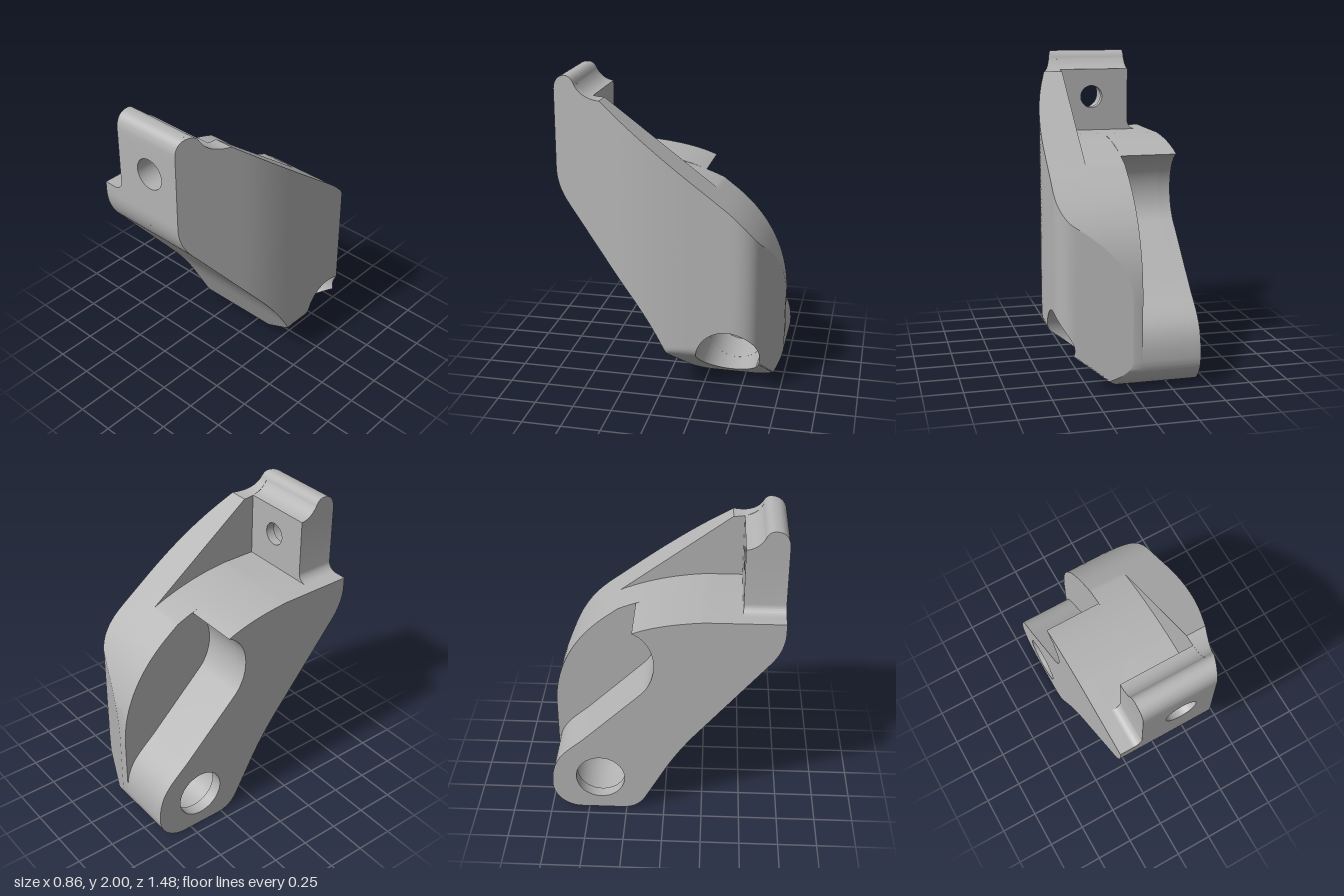
import * as THREE from 'three';
import { toCreasedNormals } from 'three/addons/utils/BufferGeometryUtils.js';

// Side profiles use (u, y) with u = -z; the pivot hole is the hub of the radial meshes.
const HUB = { u: 0.42, y: 0.25, r: 0.2 };
const WALL_X = -0.06, POCKET_X = 0.19, LEFT_X = -0.43, STEP_X = -0.35;

// Plan outline of the outer shell as (z, x), front to back
const plan = new THREE.Path();
plan.moveTo(0.74, 0.19);
plan.lineTo(0.33, 0.344);
plan.quadraticCurveTo(0.1, 0.43, -0.2, 0.43);
plan.lineTo(-0.45, 0.43);
plan.quadraticCurveTo(-0.59, 0.43, -0.625, 0.32);
plan.lineTo(-0.74, 0);
const planPoints = plan.getPoints(16);

// Lower side chamfer as (y, x)
const chamfer = new THREE.Path();
chamfer.moveTo(0, 0.055);
chamfer.lineTo(0.25, 0.395);
chamfer.quadraticCurveTo(0.275, 0.43, 0.33, 0.43);
const chamferPoints = chamfer.getPoints(8);

function lookup(points, t) {
  for (let i = 1; i < points.length; i++) {
    const a = points[i - 1], b = points[i];
    if ((t - a.x) * (t - b.x) <= 0 && a.x !== b.x) return a.y + (b.y - a.y) * (t - a.x) / (b.x - a.x);
  }
  const a = points[0], b = points[points.length - 1];
  return Math.abs(t - a.x) < Math.abs(t - b.x) ? a.y : b.y;
}
const outerX = (u, y) => Math.min(lookup(planPoints, -u), lookup(chamferPoints, y));
const pocketX = (u, y) => Math.min(POCKET_X, outerX(u, y));

// Shared stretches of the side profile
function startBottom(s) {
  s.moveTo(0.28, 0);
  s.lineTo(0.55, 0);
  s.absarc(0.55, 0.19, 0.19, -Math.PI / 2, 0, false);
}
function shellBack(s) {
  s.lineTo(0.74, 0.58);
  s.bezierCurveTo(0.74, 0.85, 0.62, 1.09, 0.4, 1.26);
}
function frontDown(s) {
  s.lineTo(-0.74, 1.4);
  s.quadraticCurveTo(-0.74, 1.28, -0.66, 1.18);
  s.lineTo(-0.2, 0.62);
  s.quadraticCurveTo(-0.08, 0.47, 0, 0.32);
  s.lineTo(0.12, 0.1);
  s.quadraticCurveTo(0.17, 0, 0.28, 0);
}
function topLip(s) {
  s.quadraticCurveTo(-0.61, 2, -0.65, 2);
  s.quadraticCurveTo(-0.73, 2, -0.74, 1.91);
}

function shellProfile() {
  const s = new THREE.Shape();
  startBottom(s);
  shellBack(s);
  s.lineTo(-0.41, 1.87);
  s.quadraticCurveTo(-0.54, 1.87, -0.59, 1.95);
  topLip(s);
  frontDown(s);
  return s;
}
function coreProfile() {
  const s = new THREE.Shape();
  startBottom(s);
  shellBack(s);
  s.lineTo(0.31, 1.328);
  s.quadraticCurveTo(0.05, 1.44, -0.25, 1.46);
  s.lineTo(-0.74, 1.46);
  frontDown(s);
  return s;
}
function lugProfile(holeRadius) {
  const s = new THREE.Shape();
  startBottom(s);
  s.bezierCurveTo(0.74, 0.42, 0.62, 0.46, 0.5, 0.58);
  s.lineTo(0.14, 0.93);
  s.bezierCurveTo(0.02, 1.06, 0.04, 1.3, 0.195, 1.37);
  s.quadraticCurveTo(0.03, 1.44, -0.25, 1.46);
  s.lineTo(-0.74, 1.46);
  frontDown(s);
  s.holes.push(new THREE.Path().absarc(HUB.u, HUB.y, holeRadius, 0, Math.PI * 2, true));
  return s;
}

// Outline points with long edges subdivided
function densePoints(shape) {
  const pts = shape.getPoints(14), out = [];
  pts.forEach((a, i) => {
    const b = pts[(i + 1) % pts.length], d = a.distanceTo(b);
    if (d < 1e-5) return;
    const n = Math.ceil(d / 0.03);
    for (let k = 0; k < n; k++) out.push(a.clone().lerp(b, k / n));
  });
  return out;
}

// Solid between two x rules: rings grow from the pivot hole to the profile
function radialSolid(shape, x0, x1, rings = 24) {
  const edge = densePoints(shape), n = edge.length, pos = [], index = [];
  for (const rule of [x0, x1]) {
    for (let k = 0; k <= rings; k++) {
      for (const p of edge) {
        const du = p.x - HUB.u, dy = p.y - HUB.y, d = Math.hypot(du, dy);
        const r = HUB.r + (d - HUB.r) * k / rings;
        const u = HUB.u + du / d * r, y = HUB.y + dy / d * r;
        pos.push(rule(u, y), y, -u);
      }
    }
  }
  const id = (side, k, i) => (side * (rings + 1) + k) * n + i % n;
  const quad = (a, b, c, d) => index.push(a, b, c, a, c, d);
  for (let i = 0; i < n; i++) {
    for (let k = 0; k < rings; k++) {
      quad(id(1, k, i), id(1, k + 1, i), id(1, k + 1, i + 1), id(1, k, i + 1));
      quad(id(0, k, i), id(0, k, i + 1), id(0, k + 1, i + 1), id(0, k + 1, i));
    }
    quad(id(0, rings, i), id(0, rings, i + 1), id(1, rings, i + 1), id(1, rings, i));
    quad(id(0, 0, i), id(1, 0, i), id(1, 0, i + 1), id(0, 0, i + 1));
  }
  const g = new THREE.BufferGeometry();
  g.setAttribute('position', new THREE.Float32BufferAttribute(pos, 3));
  g.setIndex(index);
  return g;
}

function extrude(shape, depth) {
  return new THREE.ExtrudeGeometry(shape, { depth, bevelEnabled: false, curveSegments: 20 });
}
// Extrusion of a side profile across x
const acrossX = (shape, xa, xb) => extrude(shape, xb - xa).rotateY(Math.PI / 2).translate(xa, 0, 0);

// Upright tab face with its fillet and bolt hole
function tabShape(holeRadius) {
  const s = new THREE.Shape();
  s.moveTo(-0.345, 1.45);
  s.lineTo(POCKET_X, 1.45);
  s.lineTo(POCKET_X, 1.85);
  s.lineTo(-0.285, 1.85);
  s.lineTo(-0.285, 1.52);
  s.absarc(-0.345, 1.52, 0.06, 0, -Math.PI / 2, true);
  s.holes.push(new THREE.Path().absarc(-0.03, 1.69, holeRadius, 0, Math.PI * 2, true));
  return s;
}
function tabTopShape() {
  const s = new THREE.Shape();
  s.moveTo(-0.48, 1.85);
  s.lineTo(-0.48, 1.878);
  s.quadraticCurveTo(-0.55, 1.885, -0.59, 1.95);
  topLip(s);
  s.lineTo(-0.74, 1.85);
  return s;
}

export function createModel() {
  const model = new THREE.Group();
  model.name = 'bracket';
  const grey = new THREE.MeshStandardMaterial({ color: 0xb4b4b4 });
  grey.name = 'plain grey';
  const add = (name, geometry) => {
    const mesh = new THREE.Mesh(toCreasedNormals(geometry, 0.45), grey);
    mesh.name = name;
    model.add(mesh);
  };

  // Curved outer shell and the solid core beside it
  add('outerShell', radialSolid(shellProfile(), pocketX, outerX));
  add('core', radialSolid(coreProfile(), () => WALL_X, pocketX));

  // Channelled lug side, with a stepped pivot hole
  add('lugOuter', acrossX(lugProfile(0.16), LEFT_X, STEP_X));
  add('lugInner', acrossX(lugProfile(HUB.r), STEP_X, WALL_X));

  // Mounting tab, with a counterbored bolt hole
  add('tabRear', extrude(tabShape(0.075), 0.06).translate(0, 0, 0.48));
  add('tabFront', extrude(tabShape(0.1), 0.2).translate(0, 0, 0.54));
  add('tabTop', acrossX(tabTopShape(), -0.285, POCKET_X));
  return model;
}
